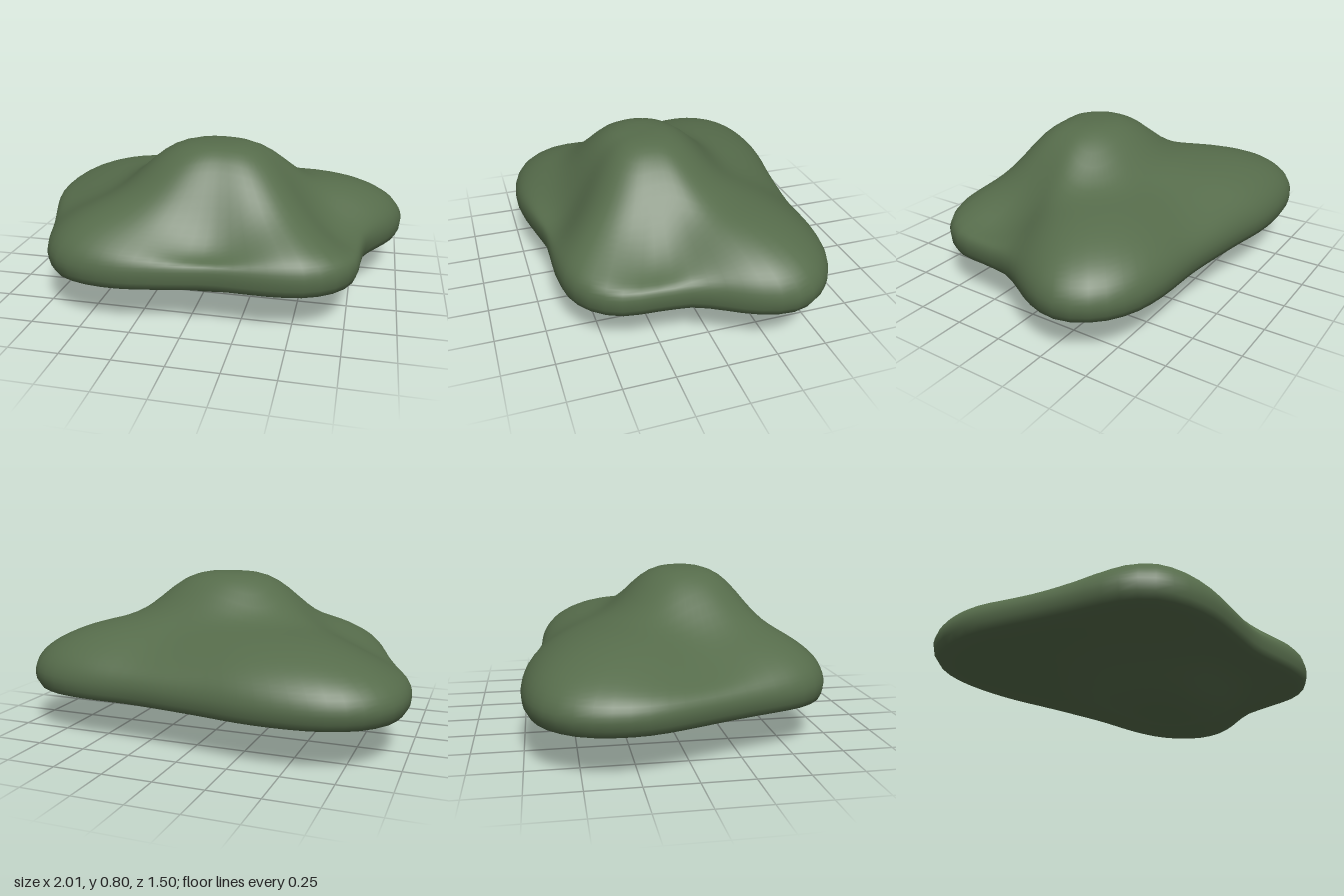
import * as THREE from 'three';

// Plan outline as x, z pairs, and the point the rings spread from
const OUTLINE = [
  -1, -0.38, -0.96, -0.53, -0.85, -0.66, -0.7, -0.73, -0.5, -0.755, -0.3, -0.745, -0.1, -0.71,
  0.1, -0.68, 0.3, -0.655, 0.6, -0.64, 0.78, -0.6, 0.92, -0.51, 1, -0.38, 1, -0.25, 0.95, -0.12,
  0.88, 0, 0.83, 0.1, 0.81, 0.25, 0.79, 0.44, 0.72, 0.56, 0.6, 0.64, 0.45, 0.67, 0.12, 0.67,
  0, 0.69, -0.15, 0.72, -0.32, 0.745, -0.5, 0.73, -0.64, 0.67, -0.73, 0.56, -0.78, 0.43,
  -0.82, 0.3, -0.88, 0.13, -0.94, -0.03, -0.98, -0.15, -1, -0.25,
];
const CX = 0.08, CZ = 0.1, SEGMENTS = 72, CROWN_ROWS = 24, BELLY_ROWS = 14, LIP = 0.975;

// Hollows between the lobes: direction, angular width (degrees) and depth
const HOLLOWS = [[88, 34, 0.11], [14, 24, 0.1], [183, 22, 0.065], [280, 28, 0.03]];

function hollow(angle, t) {
  let depth = 0;
  for (const [dir, width, amount] of HOLLOWS) {
    const off = ((angle - dir + 540) % 360) - 180;
    depth += amount * Math.exp(-((off / width) ** 2));
  }
  return depth * 12.2 * t ** 4 * (1 - t);
}

// Broad-shouldered central swelling, wider than it is deep
const dome = (x, z) => Math.exp(-(Math.hypot((x - 0.05) / 0.41, (z - 0.12) / 0.33) ** 3.5));

// Upper surface: central dome over a rounded, lobed skirt
function crownHeight(t, x, z, angle) {
  const skirt = 0.3 * Math.sqrt(Math.max(0, 1 - t ** 3));
  return 0.285 + skirt + 0.215 * dome(x, z) - hollow(angle, t);
}

// Underside: a shallower version of the same lobes
function bellyHeight(t, x, z, angle) {
  const depth = 0.09 * (1 - (t / LIP) ** 2) + 0.125 * dome(x, z);
  return 0.215 - depth * (1 - 2 * hollow(angle, t));
}

// Closed surface of rings from the top pole, around the rim, to the bottom pole
function ringSurface(rows, spokes, topY, bottomY) {
  const n = spokes.length;
  const position = [CX, topY, CZ];
  const index = [];
  for (const [t, height] of rows) {
    for (const { dx, dz, angle } of spokes) {
      const x = CX + dx * t, z = CZ + dz * t;
      position.push(x, height(t, x, z, angle), z);
    }
  }
  position.push(CX, bottomY, CZ);
  const last = 1 + rows.length * n;
  for (let j = 0; j < n; j++) {
    const k = (j + 1) % n;
    index.push(0, 1 + k, 1 + j, last, last - n + j, last - n + k);
    for (let r = 1; r < rows.length; r++) {
      const a = 1 + r * n + j, b = 1 + r * n + k;
      index.push(a - n, b, a, a - n, b - n, b);
    }
  }
  const geometry = new THREE.BufferGeometry();
  geometry.setAttribute('position', new THREE.Float32BufferAttribute(position, 3));
  geometry.setIndex(index);
  geometry.computeVertexNormals();
  return geometry;
}

export function createModel() {
  const group = new THREE.Group();
  group.name = 'mossyMound';
  const mossGreen = new THREE.MeshStandardMaterial({ color: 0x566c4b });
  mossGreen.name = 'mossGreen';

  // Spokes from the centre to evenly spaced points of the outline
  const points = [];
  for (let i = 0; i < OUTLINE.length; i += 2) {
    points.push(new THREE.Vector3(OUTLINE[i], 0, OUTLINE[i + 1]));
  }
  const curve = new THREE.CatmullRomCurve3(points, true);
  const spokes = curve.getSpacedPoints(SEGMENTS).slice(0, SEGMENTS).map((p) => {
    const dx = p.x - CX, dz = p.z - CZ;
    const angle = (THREE.MathUtils.radToDeg(Math.atan2(dz, dx)) + 360) % 360;
    return { dx, dz, angle };
  });

  // Crown rows outwards, the turned-under rim, then belly rows inwards
  const rows = [];
  for (let i = 1; i <= CROWN_ROWS; i++) {
    rows.push([Math.sin((i / CROWN_ROWS) * Math.PI / 2), crownHeight]);
  }
  rows.push([0.995, () => 0.25]);
  for (let i = BELLY_ROWS; i >= 1; i--) {
    rows.push([LIP * i / BELLY_ROWS, bellyHeight]);
  }

  const mound = new THREE.Mesh(ringSurface(rows, spokes, 0.8, 0), mossGreen);
  mound.name = 'mound';
  group.add(mound);
  return group;
}
